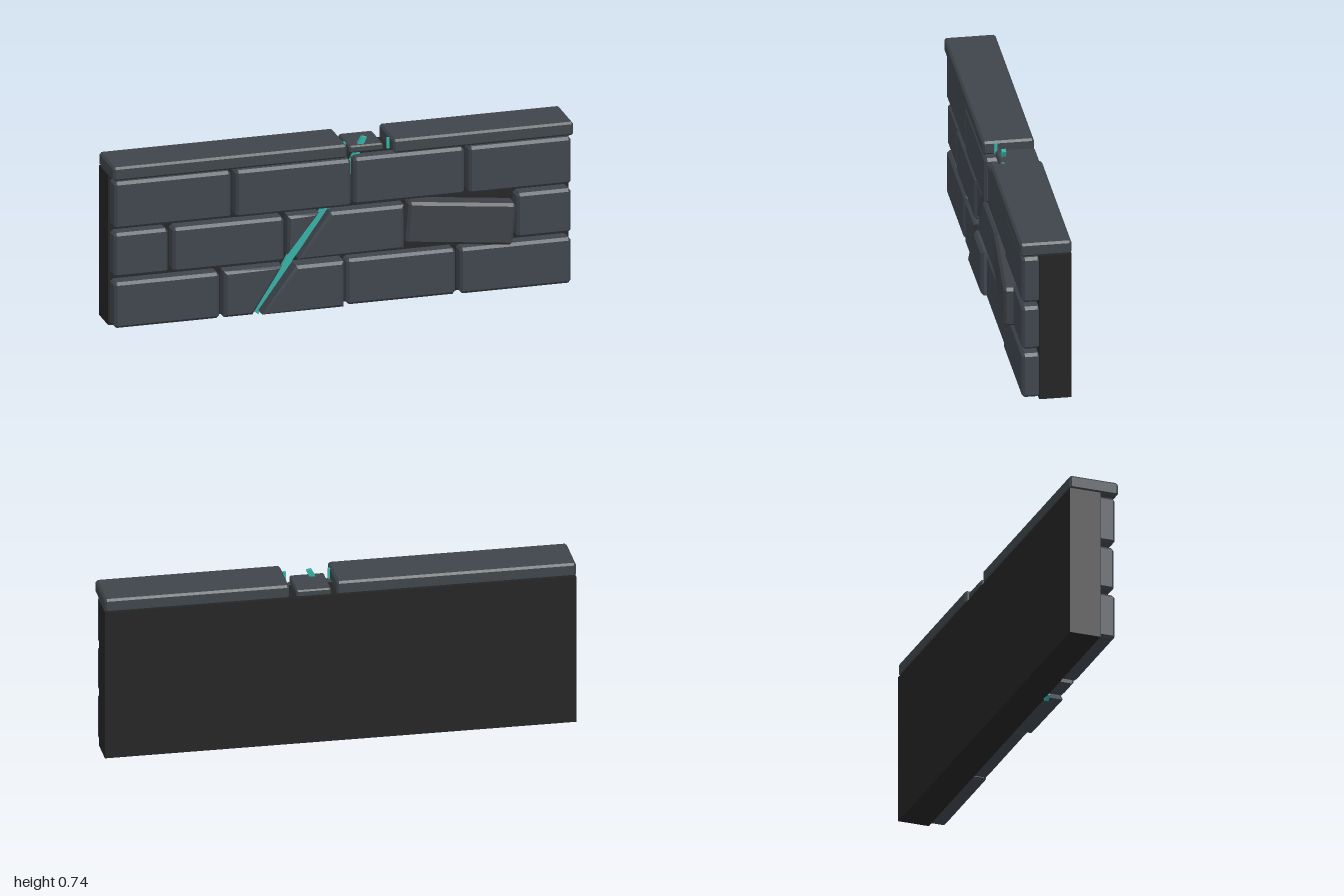
import * as THREE from 'three';
import { ConvexGeometry } from 'three/addons/geometries/ConvexGeometry.js';

const mat = (name, color) => Object.assign(new THREE.MeshStandardMaterial({ color }), { name });

// Box with every edge chamfered, centred on the origin
function chamferBox(w, h, d, c) {
  const pts = [];
  for (const x of [-1, 1]) for (const y of [-1, 1]) for (const z of [-1, 1]) {
    const [a, b, e] = [x * w / 2, y * h / 2, z * d / 2];
    pts.push(new THREE.Vector3(a, b - y * c, e - z * c));
    pts.push(new THREE.Vector3(a - x * c, b, e - z * c));
    pts.push(new THREE.Vector3(a - x * c, b - y * c, e));
  }
  return new ConvexGeometry(pts);
}

// Outline in x and y, extruded from z0 to z1 with chamfered rims
function slab(points, z0, z1, c) {
  const shape = new THREE.Shape(points.map(([x, y]) => new THREE.Vector2(x, y)));
  const geo = new THREE.ExtrudeGeometry(shape, {
    depth: z1 - z0 - 2 * c, bevelEnabled: c > 0, bevelThickness: c,
    bevelSize: c, bevelOffset: -c, bevelSegments: 1,
  });
  return geo.translate(0, 0, z0 + c);
}

export function createModel() {
  const group = new THREE.Group();
  const brick = mat('slate brick', 0x3f454d);
  const capStone = mat('cap stone', 0x3e454a);
  const loose = mat('loose brick grey', 0x3d4146);
  const mortar = mat('dark mortar', 0x242424);
  const glow = mat('teal glow', 0x35b0a5);

  const add = (name, geo, material) => {
    const mesh = new THREE.Mesh(geo, material);
    mesh.name = name;
    group.add(mesh);
    return mesh;
  };
  const block = (name, x0, x1, y0, y1, z0, z1, c, material) => add(name,
    chamferBox(x1 - x0, y1 - y0, z1 - z0, c)
      .translate((x0 + x1) / 2, (y0 + y1) / 2, (z0 + z1) / 2), material);

  // Backing wall
  add('wallCore', new THREE.BoxGeometry(2, 0.663, 0.137).translate(0, 0.3435, -0.0535), mortar);

  // Whole bricks, row by row: [left, right, front]
  const rows = [
    { y0: 0.018, y1: 0.22, bricks: [[-0.993, -0.535, 0.085], [0.018, 0.492, 0.08], [0.51, 0.993, 0.086]] },
    { y0: 0.242, y1: 0.437, bricks: [[-0.993, -0.757, 0.08], [-0.738, -0.255, 0.085], [0.757, 0.993, 0.086]] },
    { y0: 0.458, y1: 0.665, bricks: [[-0.993, -0.485, 0.085], [-0.466, 0.035, 0.09], [0.05, 0.53, 0.08], [0.548, 0.993, 0.086]] },
  ];
  rows.forEach(({ y0, y1, bricks }, r) => bricks.forEach(([x0, x1, z], i) =>
    block(`brickRow${r + 1}No${i + 1}`, x0, x1, y0, y1, 0.008, z, 0.012, brick)));

  // Bricks split by the crack
  const split = [
    ['lowerSplitLeft', [[-0.515, 0.018], [-0.39, 0.018], [-0.262, 0.22], [-0.515, 0.22]], 0.085],
    ['lowerSplitRight', [[-0.352, 0.018], [0.002, 0.018], [0.002, 0.22], [-0.205, 0.22]], 0.1],
    ['middleSplitLeft', [[-0.236, 0.265], [-0.1, 0.437], [-0.236, 0.437]], 0.08],
    ['middleSplitRight', [[-0.19, 0.242], [0.267, 0.242], [0.267, 0.437], [-0.052, 0.437]], 0.085],
  ];
  for (const [name, points, z] of split) add(name, slab(points, 0.008, z, 0.012), brick);

  // Brick pushed out of place
  const tilted = add('looseBrick', chamferBox(0.46, 0.183, 0.09, 0.012), loose);
  tilted.position.set(0.51, 0.337, 0.062);
  tilted.rotation.set(0, -0.07, -0.09);

  // Cap stones with a sunken piece in the gap
  block('capRight', -1, 0.015, 0.675, 0.735, -0.122, 0.095, 0.009, capStone);
  block('capLeft', 0.217, 1, 0.675, 0.735, -0.122, 0.095, 0.009, capStone);
  block('brokenCapPiece', 0.04, 0.187, 0.677, 0.708, -0.12, 0.045, 0.006, capStone);

  // Glowing crack running up behind the bricks to the gap
  add('crackGlow', slab([
    [-0.352, 0], [-0.29, 0.09], [-0.245, 0.15], [-0.2, 0.23], [-0.028, 0.458], [0.05, 0.58],
    [0.09, 0.67], [0.12, 0.735], [0.098, 0.74], [0.06, 0.67], [0.02, 0.59], [-0.065, 0.458],
    [-0.225, 0.25], [-0.29, 0.13], [-0.375, 0.018],
  ], 0.012, 0.03, 0), glow);

  // Glowing slivers on the broken cap ends
  for (const x of [0.018, 0.208]) {
    add('capGlow', new THREE.BoxGeometry(0.012, 0.045, 0.014).translate(x, 0.705, 0.04), glow);
  }
  return group;
}
